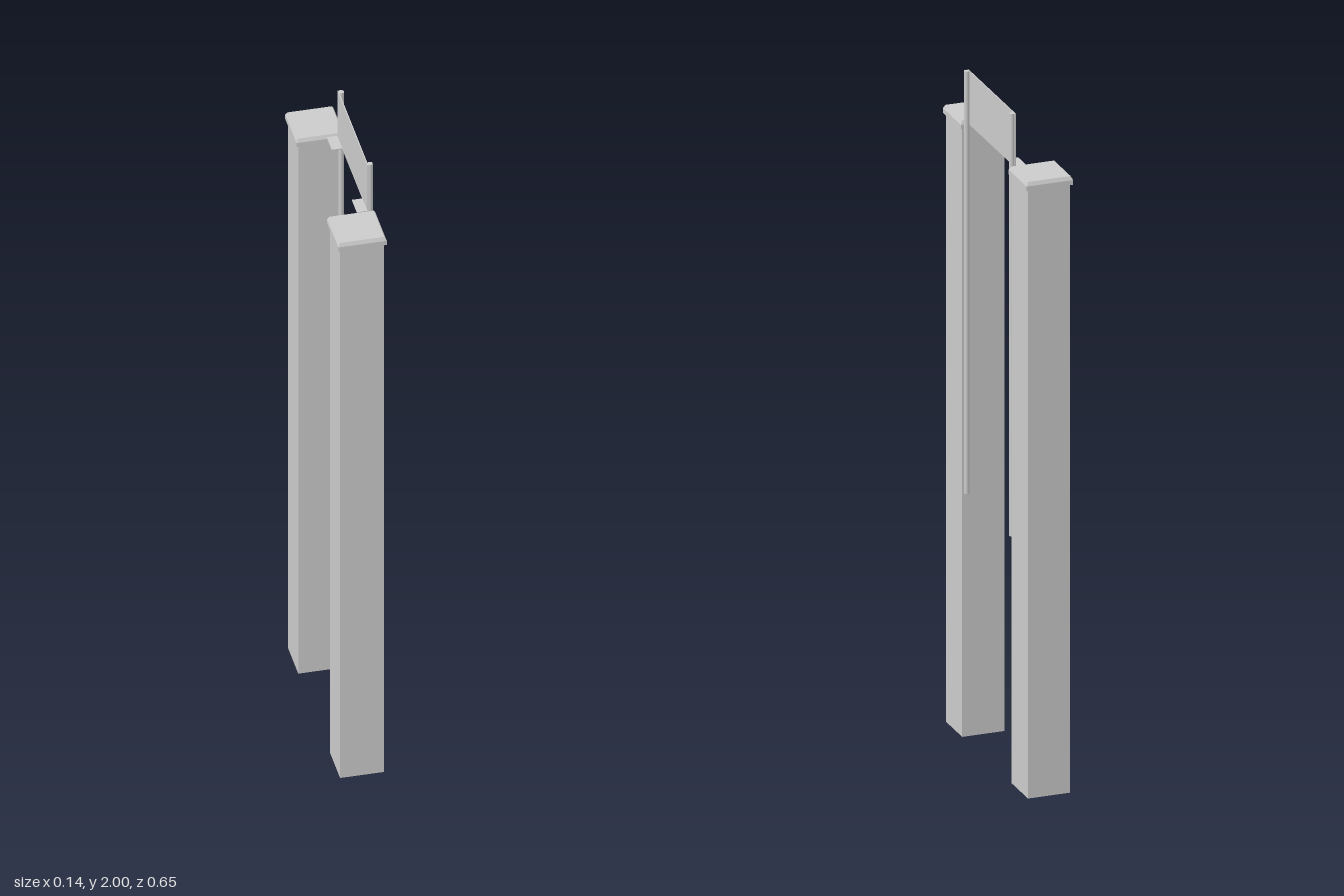
import * as THREE from 'three';

const material = new THREE.MeshStandardMaterial({ color: 0xcccccc, flatShading: true });
const smooth = new THREE.MeshStandardMaterial({ color: 0xcccccc });

function add(parent, name, geometry, x, y, z, mat = material) {
  const mesh = new THREE.Mesh(geometry, mat);
  mesh.name = name;
  mesh.position.set(x, y, z);
  parent.add(mesh);
  return mesh;
}

// Square block whose top is narrower than its base
function taperedBlock(base, top, height) {
  const geometry = new THREE.BoxGeometry(base, height, base);
  const p = geometry.attributes.position;
  for (let i = 0; i < p.count; i++) {
    if (p.getY(i) > 0) {
      p.setX(i, p.getX(i) * top / base);
      p.setZ(i, p.getZ(i) * top / base);
    }
  }
  geometry.computeVertexNormals();
  return geometry;
}

export function createModel() {
  const model = new THREE.Group();
  model.name = 'gateway';

  for (const side of [1, -1]) {
    const post = new THREE.Group();
    post.name = side > 0 ? 'frontPost' : 'backPost';
    model.add(post);

    // Square pillar with an overhanging cap bevelled at the top
    add(post, 'pillar', new THREE.BoxGeometry(0.126, 1.822, 0.126), 0, 0.911, side * 0.2545);
    add(post, 'capSlab', new THREE.BoxGeometry(0.139, 0.014, 0.139), 0, 1.829, side * 0.2545);
    add(post, 'capBevel', taperedBlock(0.139, 0.128, 0.011), 0, 1.8415, side * 0.2545);

    // Slim round pole carrying the banner, and its small flat bracket
    add(post, 'pole', new THREE.CylinderGeometry(0.008, 0.008, 1.265, 20), 0.056, 1.3675, side * 0.175, smooth);
    add(post, 'bracket', new THREE.BoxGeometry(0.031, 0.003, 0.061), 0.0325, 1.842, side * 0.1525);
  }

  // Thin banner panel spanning between the poles
  add(model, 'banner', new THREE.BoxGeometry(0.003, 0.16, 0.365), 0.0485, 1.92, 0);

  return model;
}
